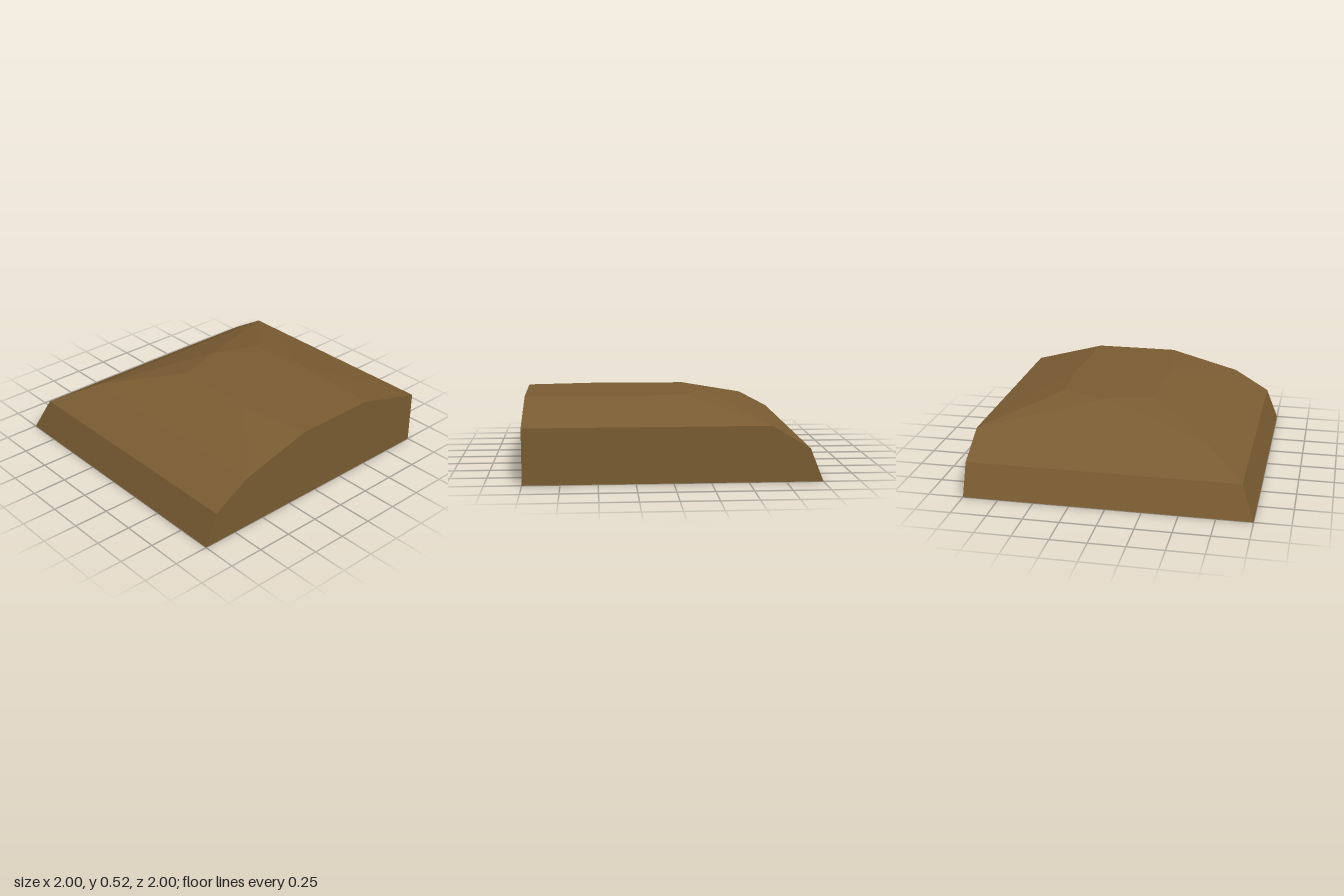
import * as THREE from 'three';

// Flat-shaded faces: each polygon is a fan from its first point, counter-clockwise from outside
function facesMesh(name, polygons, material) {
  const positions = [];
  for (const p of polygons) {
    for (let i = 1; i < p.length - 1; i++) positions.push(...p[0], ...p[i], ...p[i + 1]);
  }
  const geometry = new THREE.BufferGeometry();
  geometry.setAttribute('position', new THREE.Float32BufferAttribute(positions, 3));
  geometry.computeVertexNormals();
  const mesh = new THREE.Mesh(geometry, material);
  mesh.name = name;
  return mesh;
}

// Four corners of one terrace level; only the front and right-hand edges step inwards
const level = (inset, y) => ({
  frontLeft: [-inset, y, inset],
  frontRight: [1, y, inset],
  backRight: [1, y, -1],
  backLeft: [-inset, y, -1],
});

export function createModel() {
  const earth = new THREE.MeshStandardMaterial({ color: 0x7a5c32 });
  earth.name = 'earthBrown';

  const base = level(1, 0);
  const ledge = level(0.91, 0.225);
  const shoulder = level(0.65, 0.38);

  // Irregular flat top, counter-clockwise from its front corner
  const top = [
    [-0.15, 0.18], [0.5, 0.2], [1, 0.13], [1, -0.48], [0.3, -0.52], [-0.13, -0.49], [-0.26, -0.15],
  ].map(([x, z]) => [x, 0.52, z]);

  // Stepped bands along the two outer edges
  const band = (a, b) => [
    [a.frontLeft, a.frontRight, b.frontRight, b.frontLeft],
    [a.backLeft, a.frontLeft, b.frontLeft, b.backLeft],
  ];

  // Slopes between shoulder and plateau
  const slopes = [
    [top[1], top[0], shoulder.frontLeft, shoulder.frontRight, top[2]],
    [top[4], top[3], shoulder.backRight, shoulder.backLeft, top[5]],
    [top[6], top[5], shoulder.backLeft, shoulder.frontLeft, top[0]],
  ];

  // Upright cut faces
  const sideWall = [
    base.frontRight, base.backRight, shoulder.backRight, top[3], top[2],
    shoulder.frontRight, ledge.frontRight,
  ];
  const backWall = [
    base.backRight, base.backLeft, ledge.backLeft, shoulder.backLeft, shoulder.backRight,
  ];
  const underside = [base.frontLeft, base.backLeft, base.backRight, base.frontRight];

  const group = new THREE.Group();
  group.name = 'terrainCorner';
  group.add(
    facesMesh('lowerBank', band(base, ledge), earth),
    facesMesh('upperBank', band(ledge, shoulder), earth),
    facesMesh('slopes', slopes, earth),
    facesMesh('plateau', [top], earth),
    facesMesh('cutWalls', [sideWall, backWall], earth),
    facesMesh('underside', [underside], earth),
  );
  return group;
}
